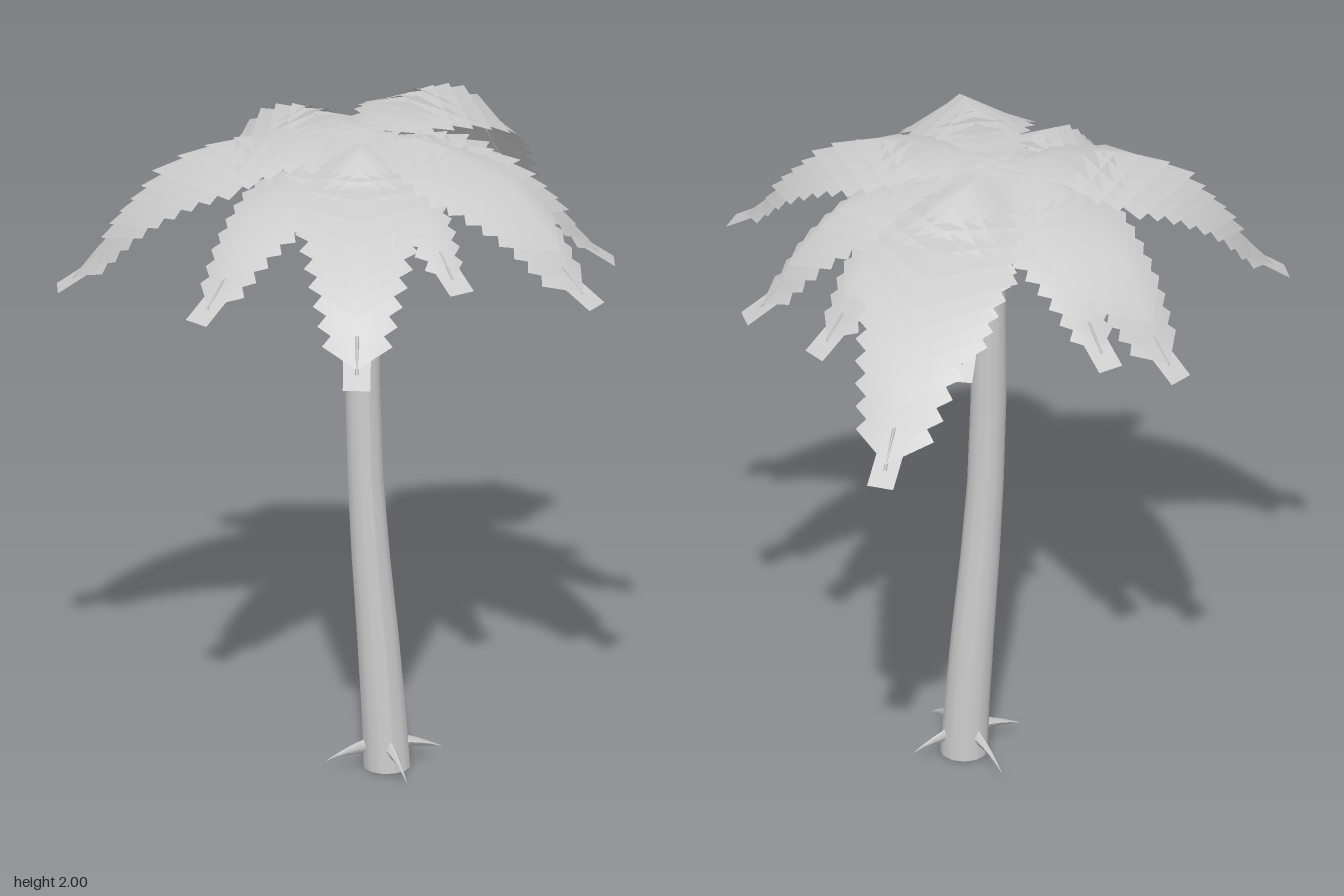
import * as THREE from 'three';
import { mergeGeometries } from 'three/addons/utils/BufferGeometryUtils.js';

const clay = new THREE.MeshStandardMaterial({ color: 0xcccccc, side: THREE.DoubleSide });
clay.name = 'palm grey';

const UP = new THREE.Vector3(0, 1, 0);
const CROWN = new THREE.Vector3(0.05, 1.86, -0.05);

function mesh(name, geometry) {
  const m = new THREE.Mesh(geometry, clay);
  m.name = name;
  return m;
}

// Leaf card given by its centre, forward and side half-vectors; the side corners droop
function card(center, forward, side, droop, square = false) {
  const at = (a, b, d) => center.clone().addScaledVector(forward, a).addScaledVector(side, b).addScaledVector(UP, -d);
  const corners = square
    ? [at(-1, -1, 0), at(-1, 1, 0), at(1, 1, droop), at(1, -1, droop)]
    : [at(-1, 0, 0), at(0, 1, droop), at(1, 0, 0), at(0, -1, droop)];
  const g = new THREE.BufferGeometry().setFromPoints(corners);
  g.setIndex([0, 1, 2, 0, 2, 3]);
  g.computeVertexNormals();
  return g;
}

// Arching frond: rib plus overlapping diamond cards and one square tip card
function frond(name, [x, y, z], peak, width, count) {
  const group = new THREE.Group();
  group.name = name;
  const dx = x - CROWN.x, dz = z - CROWN.z, drop = peak - y;
  const p = (t, h) => new THREE.Vector3(CROWN.x + dx * t, h, CROWN.z + dz * t);
  const curve = new THREE.CatmullRomCurve3([
    p(0, peak - 0.04), p(0.13, peak - 0.01), p(0.27, peak), p(0.5, peak - drop * 0.1),
    p(0.75, peak - drop * 0.43), p(0.9, peak - drop * 0.78), p(1, y),
  ]);
  const cards = [];
  for (let i = 0; i < count; i++) {
    const u = 0.16 + (0.72 * i) / (count - 1);
    const grow = u < 0.4 ? 0.6 + (0.4 * (u - 0.16)) / 0.24 : 1 - (0.5 * (u - 0.4)) / 0.48;
    const half = width * grow;
    const tangent = curve.getTangentAt(u);
    const side = new THREE.Vector3().crossVectors(UP, tangent).normalize();
    const forward = tangent.addScaledVector(UP, 0.06).normalize();
    forward.y = Math.min(forward.y, 0.02);
    cards.push(card(curve.getPointAt(u), forward.multiplyScalar(half), side.multiplyScalar(half), half * 0.3));
  }
  const t = curve.getTangentAt(1);
  const s = new THREE.Vector3().crossVectors(UP, t).normalize();
  cards.push(card(curve.getPointAt(1), t.setY(t.y * 0.6).normalize().multiplyScalar(0.055), s.multiplyScalar(0.04), 0, true));
  group.add(mesh('leaflets', mergeGeometries(cards)));
  group.add(mesh('rib', new THREE.TubeGeometry(curve, 20, 0.005, 4)));
  return group;
}

// Bent, tapering open-based trunk with a pointed top and a thin central shoot
function makeTrunk() {
  const bend = new THREE.SplineCurve([
    [0, 0.109], [0.4, 0.087], [0.8, 0.058], [1.2, 0.047], [1.6, 0.053], [2, 0.05],
  ].map(a => new THREE.Vector2(...a)));
  const profile = [
    [0.069, 0], [0.066, 0.15], [0.062, 0.4], [0.057, 0.65], [0.053, 0.9], [0.052, 1.2], [0.052, 1.45],
    [0.05, 1.68], [0.043, 1.76], [0.028, 1.83], [0.009, 1.87], [0.005, 1.98],
  ].map(a => new THREE.Vector2(...a));
  const body = new THREE.LatheGeometry(profile, 12);
  const pos = body.attributes.position;
  for (let i = 0; i < pos.count; i++) {
    const y = pos.getY(i);
    pos.setX(i, pos.getX(i) + bend.getPoint(y / 2).y);
    pos.setZ(i, pos.getZ(i) - 0.045 * Math.sin((y / 2) * Math.PI / 2));
  }
  body.computeVertexNormals();
  return mesh('trunk', body);
}

// Root spike: four-sided cone that curves down towards its tip
function rootSpike(angle, reach, sag) {
  const g = new THREE.ConeGeometry(0.03, 0.17, 4, 5).rotateZ(-Math.PI / 2).scale(1, 1, 0.55);
  g.translate(reach - 0.085, 0.072, 0);
  const pos = g.attributes.position;
  for (let i = 0; i < pos.count; i++) {
    const k = (pos.getX(i) - reach + 0.17) / 0.17;
    pos.setY(i, pos.getY(i) - sag * k * k);
  }
  g.computeVertexNormals();
  const m = mesh('rootSpike', g.rotateY(angle));
  m.position.set(0.1, 0, 0);
  return m;
}

// Stacked stars of small leaves around the central shoot
function makeCrownStars() {
  const leaves = [];
  [[1.985, 0.085], [1.97, 0.11], [1.95, 0.14], [1.925, 0.18], [1.89, 0.22]].forEach(([y, r], layer) => {
    for (let i = 0; i < 6; i++) {
      const a = (i * Math.PI) / 3 + layer * 0.4;
      const dir = new THREE.Vector3(Math.cos(a), -0.06, Math.sin(a));
      const side = new THREE.Vector3().crossVectors(UP, dir).normalize();
      const center = new THREE.Vector3(CROWN.x, y, CROWN.z).addScaledVector(dir, r * 0.5);
      leaves.push(card(center, dir.multiplyScalar(r * 0.5), side.multiplyScalar(r * 0.3), 0.006));
    }
  });
  return mesh('crownStars', mergeGeometries(leaves));
}

export function createModel() {
  const model = new THREE.Group();
  model.name = 'palmTree';
  model.add(makeTrunk());
  for (let i = 0; i < 4; i++) {
    model.add(i % 2 ? rootSpike((i * Math.PI) / 2, 0.21, 0.052) : rootSpike((i * Math.PI) / 2, 0.18, 0.035));
  }

  // Tip position, peak height, half width and card count of each frond
  const upper = [
    [[0.755, 1.45, -0.665], 1.97, 0.24, 13],
    [[-0.75, 1.525, -0.295], 1.955, 0.225, 13],
    [[-0.17, 1.56, -0.71], 1.955, 0.2, 12],
    [[0.52, 1.63, 0.55], 1.97, 0.205, 12],
    [[-0.23, 1.54, 0.71], 1.96, 0.205, 12],
  ];
  const lower = [
    [[0.65, 1.59, -0.14], 1.92, 0.16, 11],
    [[0.71, 1.58, 0.14], 1.93, 0.17, 11],
    [[0.01, 1.61, -0.63], 1.9, 0.15, 10],
    [[0.36, 1.57, -0.42], 1.86, 0.14, 10],
    [[-0.54, 1.62, 0.28], 1.92, 0.17, 11],
    [[0.16, 1.68, 0.44], 1.88, 0.13, 9],
  ];
  upper.forEach(f => model.add(frond('upperFrond', ...f)));
  lower.forEach(f => model.add(frond('lowerFrond', ...f)));
  model.add(makeCrownStars());
  return model;
}
